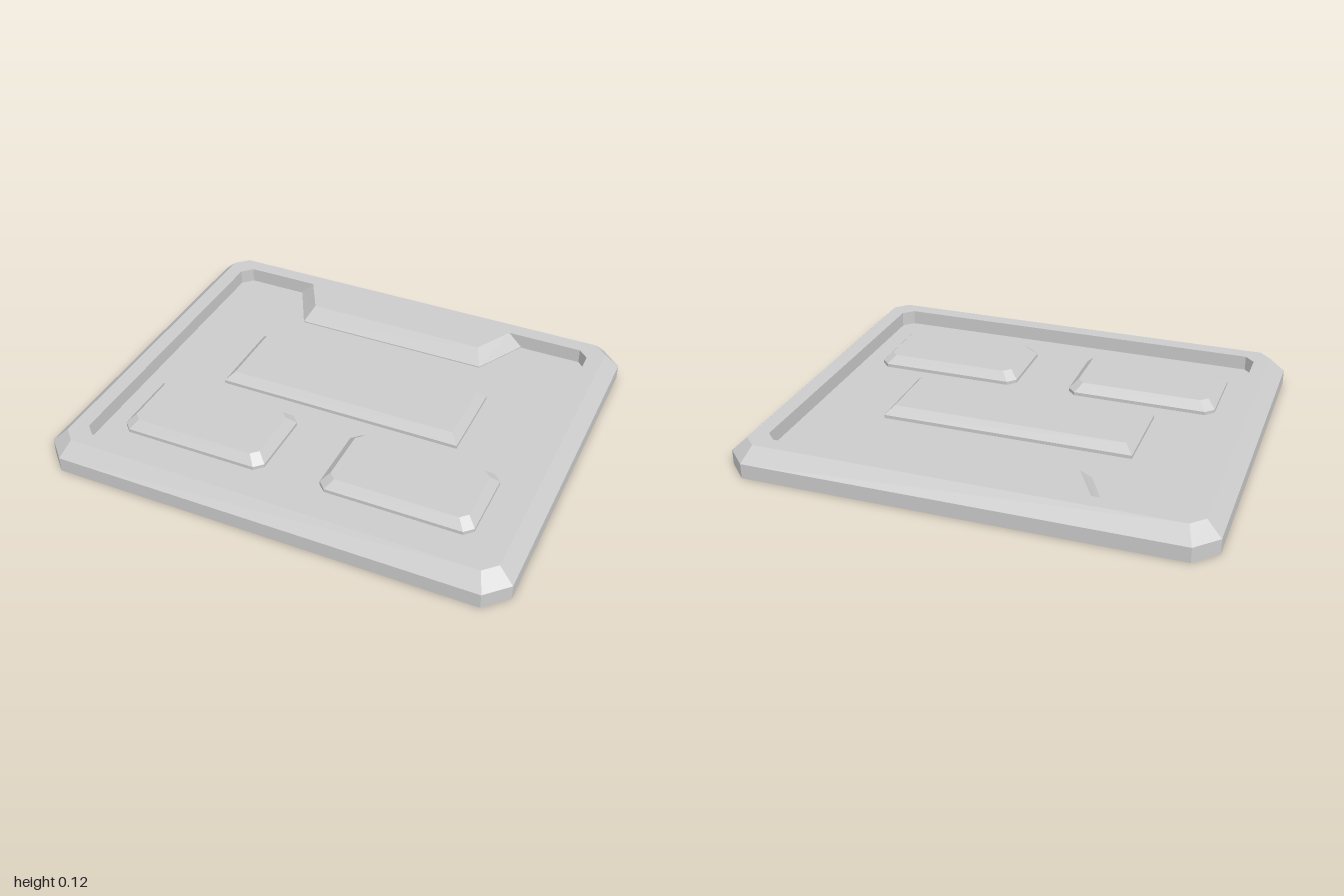
import * as THREE from 'three';

const material = new THREE.MeshStandardMaterial({
  color: 0xcccccc, flatShading: true, side: THREE.DoubleSide,
});

const FLOOR = 0.06, EDGE = 0.065, TOP = 0.125;

// Rectangle outline with cut corners (c = 0 gives square corners), as [x, z] points
function outline(hx, hz, c, cx = 0, cz = 0) {
  const pts = c > 0
    ? [[-hx + c, hz], [hx - c, hz], [hx, hz - c], [hx, -hz + c],
       [hx - c, -hz], [-hx + c, -hz], [-hx, -hz + c], [-hx, hz - c]]
    : [[-hx, hz], [hx, hz], [hx, -hz], [-hx, -hz]];
  return pts.map(([x, z]) => [x + cx, z + cz]);
}

// Joins outlines stacked at given heights; optionally caps the last one
function loft(name, levels, { closed = true, cap = false } = {}) {
  const rings = levels.map(([pts, y]) => pts.map(([x, z]) => [x, y, z]));
  const pos = [];
  const tri = (a, b, c) => pos.push(...a, ...b, ...c);
  const n = rings[0].length;
  for (let k = 0; k < rings.length - 1; k++) {
    const lo = rings[k], hi = rings[k + 1];
    for (let i = 0; i < (closed ? n : n - 1); i++) {
      const j = (i + 1) % n;
      tri(lo[i], lo[j], hi[j]);
      tri(lo[i], hi[j], hi[i]);
    }
  }
  if (cap) {
    const r = rings[rings.length - 1];
    for (let i = 1; i < n - 1; i++) tri(r[0], r[i], r[i + 1]);
  }
  const geo = new THREE.BufferGeometry();
  geo.setAttribute('position', new THREE.Float32BufferAttribute(pos, 3));
  geo.computeVertexNormals();
  const mesh = new THREE.Mesh(geo, material);
  mesh.name = name;
  return mesh;
}

// Raised panel: open skirt below, bevelled edge, flat top
function pad(name, cx, cz, hx, hz, c) {
  const b = 0.035;
  const outer = outline(hx, hz, c, cx, cz);
  const inner = outline(hx - b, hz - b, c * 0.85, cx, cz);
  return loft(name, [[outer, 0], [outer, 0.075], [inner, 0.11]], { cap: true });
}

export function createModel() {
  const model = new THREE.Group();
  model.name = 'panel';

  // Bevelled frame, hollow underneath
  const outer = outline(1, 0.83, 0.09);
  const crest = outline(0.937, 0.77, 0.053);
  const inner = outline(0.87, 0.703, 0.043);
  model.add(loft('frame', [[outer, 0], [outer, EDGE], [crest, TOP], [inner, TOP], [inner, 0]]));

  // Recessed floor
  model.add(loft('floor', [[inner, FLOOR]], { cap: true }));

  // Tapered tab reaching in from the back of the frame
  const tabBase = [[-0.56, -0.703], [-0.44, -0.477], [0.435, -0.477], [0.555, -0.703]];
  const tabTop = [[-0.5, -0.703], [-0.407, -0.535], [0.403, -0.535], [0.495, -0.703]];
  model.add(loft('backTab', [[tabBase, 0], [tabBase, EDGE], [tabTop, TOP]], { closed: false, cap: true }));

  // Raised panels
  model.add(pad('centrePad', -0.003, -0.09, 0.543, 0.185, 0));
  for (const [name, x] of [['leftPad', 0.448], ['rightPad', -0.453]]) {
    model.add(pad(name, x, 0.378, 0.327, 0.183, 0.035));
  }
  return model;
}
